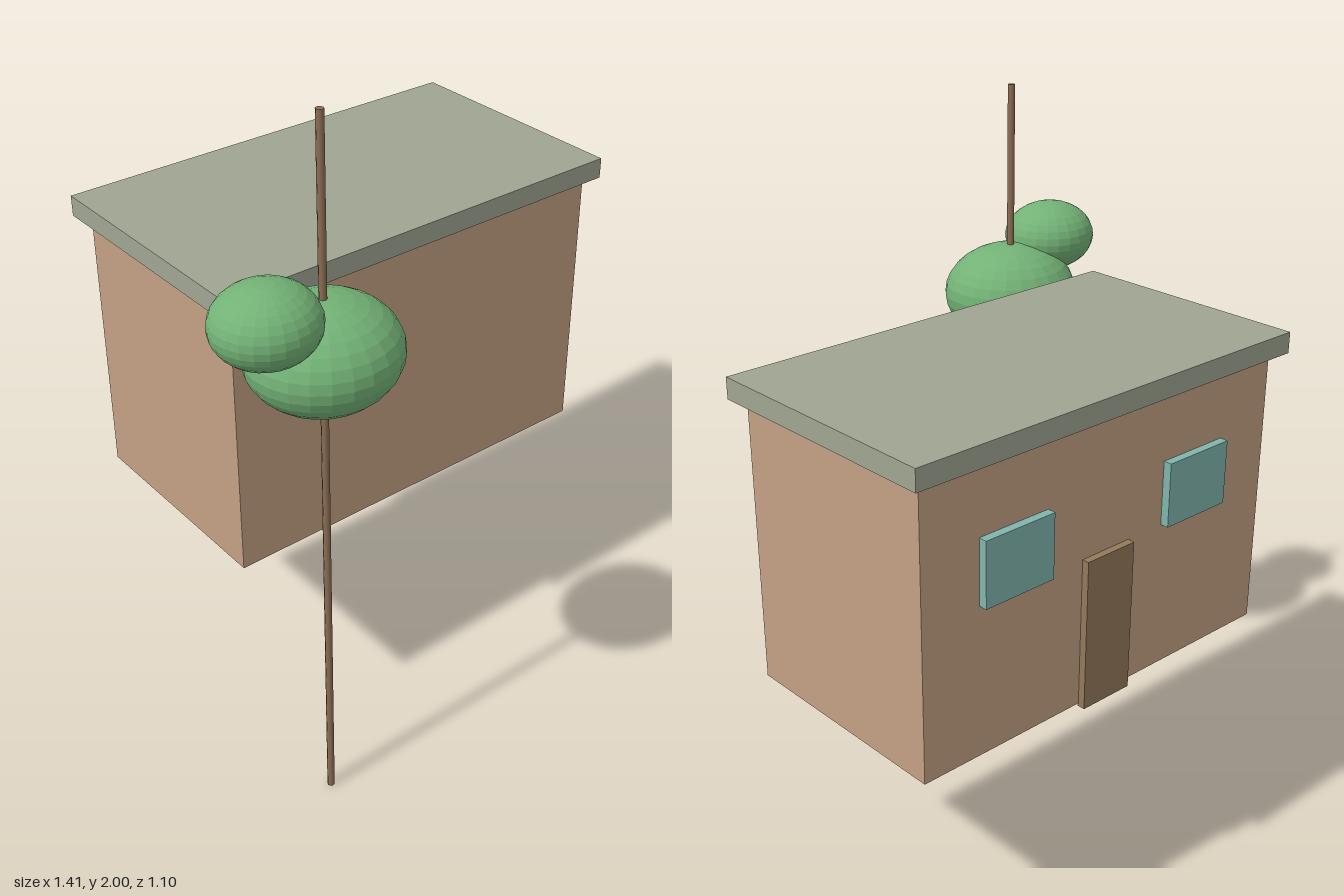
import * as THREE from 'three';

const mat = (name, color, flatShading = false) => {
  const m = new THREE.MeshStandardMaterial({ color, flatShading });
  m.name = name;
  return m;
};

export function createModel() {
  const group = new THREE.Group();
  const wallTan = mat('wallTan', 0xc4a184);
  const roofGrey = mat('roofGrey', 0xa0a592);
  const glassTeal = mat('glassTeal', 0x80b5ad);
  const doorBrown = mat('doorBrown', 0x94795a);
  const trunkBrown = mat('trunkBrown', 0x8c6e54);
  const leafGreen = mat('leafGreen', 0x73b276, true);

  const add = (name, geometry, material, x, y, z) => {
    const mesh = new THREE.Mesh(geometry, material);
    mesh.name = name;
    mesh.position.set(x, y, z);
    group.add(mesh);
    return mesh;
  };

  // Box given by its minimum and maximum on each axis
  const box = (name, material, [x0, x1], [y0, y1], [z0, z1]) =>
    add(name, new THREE.BoxGeometry(x1 - x0, y1 - y0, z1 - z0), material,
      (x0 + x1) / 2, (y0 + y1) / 2, (z0 + z1) / 2);

  // House body and the slab roof floating just above it
  box('walls', wallTan, [-0.505, 0.665], [0.66, 1.42], [-0.515, 0.12]);
  box('roof', roofGrey, [-0.54, 0.70], [1.433, 1.49], [-0.55, 0.15]);

  // Door and windows on the back wall
  box('door', doorBrown, [0, 0.16], [0.652, 1.07], [-0.535, -0.513]);
  for (const side of [-1, 1]) {
    const x = 0.08 + side * 0.306;
    box(side > 0 ? 'leftWindow' : 'rightWindow', glassTeal,
      [x - 0.107, x + 0.107], [1.07, 1.245], [-0.538, -0.513]);
  }

  // Thin tree trunk with two squashed clumps of leaves
  add('trunk', new THREE.CylinderGeometry(0.01, 0.01, 2, 8), trunkBrown, -0.415, 1, 0.363);
  const ball = new THREE.SphereGeometry(1, 24, 16);
  add('largeFoliage', ball, leafGreen, -0.415, 1.41, 0.363).scale.set(0.195, 0.138, 0.183);
  add('smallFoliage', ball, leafGreen, -0.575, 1.545, 0.368).scale.set(0.133, 0.098, 0.126);

  return group;
}
